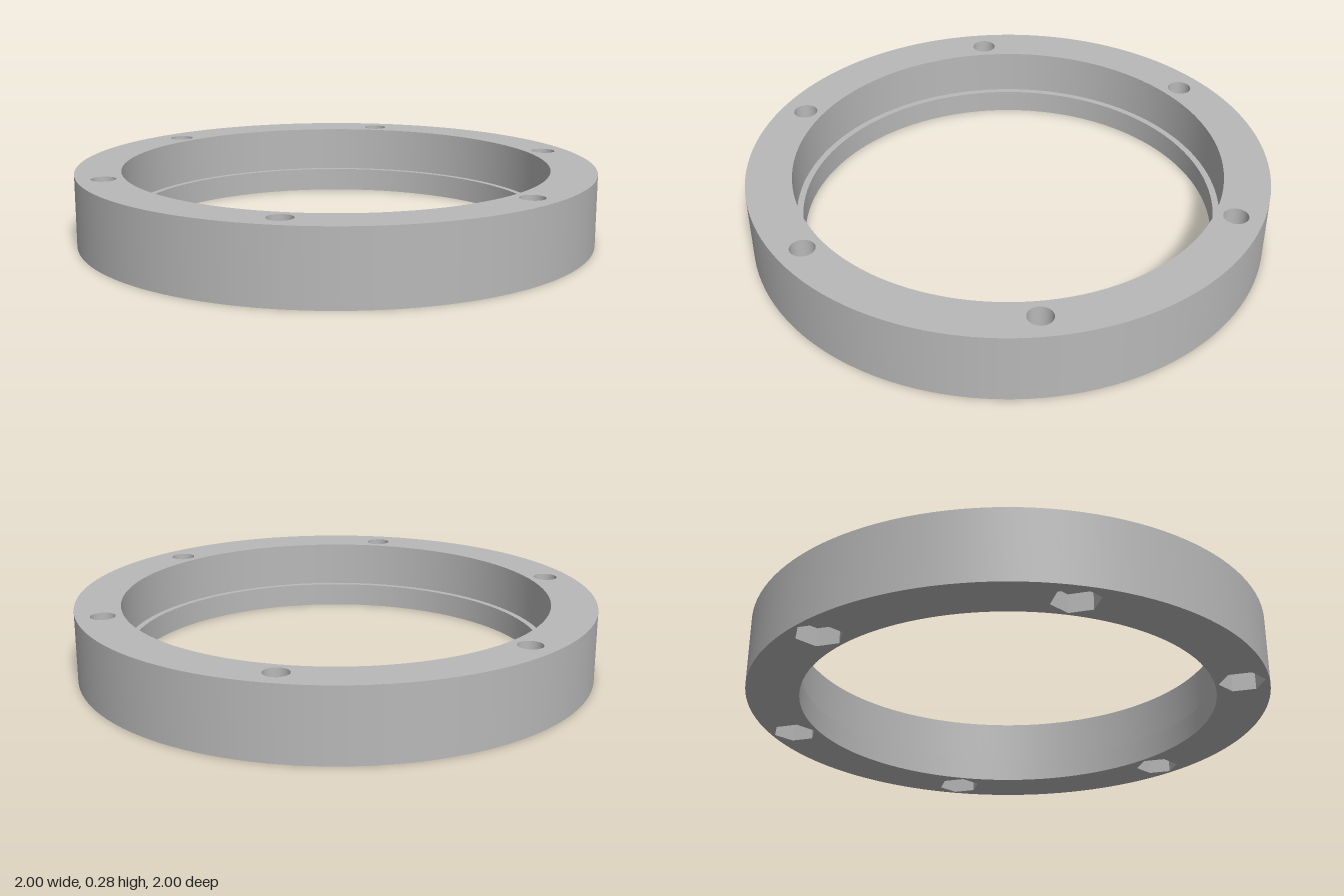
import * as THREE from 'three';

const HEIGHT = 0.275, STEP_Y = 0.095, NUT_DEPTH = 0.07;
const R_OUT = 1, R_SEAT = 0.825, R_BORE = 0.8;
const R_BOLT_CIRCLE = 0.9, R_HOLE = 0.047, R_NUT = 0.087;
const RING_SIDES = 128, HOLE_SIDES = 32;

// Regular polygon outline with its first corner on +x
function polygon(r, sides, cx = 0, cy = 0) {
  return Array.from({ length: sides }, (_, i) => {
    const a = (i / sides) * Math.PI * 2;
    return new THREE.Vector2(cx + r * Math.cos(a), cy + r * Math.sin(a));
  });
}

// Revolved strip: rising profiles face outward, falling ones face the axis
function strip(r0, y0, r1, y1, sides) {
  const profile = [new THREE.Vector2(r0, y0), new THREE.Vector2(r1, y1)];
  return new THREE.LatheGeometry(profile, sides, Math.PI / 2);
}

// Flat horizontal face with holes, facing up or down
function face(outline, holes, y, up) {
  const shape = new THREE.Shape(outline);
  for (const h of holes) shape.holes.push(new THREE.Path(h));
  const g = new THREE.ShapeGeometry(shape);
  g.rotateX(up ? -Math.PI / 2 : Math.PI / 2);
  return g.translate(0, y, 0);
}

export function createModel() {
  const model = new THREE.Group();
  model.name = 'flangeRing';
  const grey = new THREE.MeshStandardMaterial({ color: 0xb8b8b8 });
  grey.name = 'grey';

  const add = (name, geometry, parent = model) => {
    const mesh = new THREE.Mesh(geometry, grey);
    mesh.name = name;
    parent.add(mesh);
  };

  const centres = polygon(R_BOLT_CIRCLE, 6);
  const boltHoles = centres.map(c => polygon(R_HOLE, HOLE_SIDES, c.x, c.y));
  const nutHoles = centres.map(c => polygon(R_NUT, 6, c.x, c.y));

  // Ring body
  add('outerWall', strip(R_OUT, 0, R_OUT, HEIGHT, RING_SIDES));
  add('seatWall', strip(R_SEAT, HEIGHT, R_SEAT, STEP_Y, RING_SIDES));
  add('seatLedge', strip(R_SEAT, STEP_Y, R_BORE, STEP_Y, RING_SIDES));
  add('boreWall', strip(R_BORE, STEP_Y, R_BORE, 0, RING_SIDES));
  add('topFace', face(polygon(R_OUT, RING_SIDES),
    [polygon(R_SEAT, RING_SIDES), ...boltHoles], HEIGHT, true));
  add('bottomFace', face(polygon(R_OUT, RING_SIDES),
    [polygon(R_BORE, RING_SIDES), ...nutHoles], 0, false));

  // Bolt holes opening into hexagonal nut pockets underneath
  const boltWall = strip(R_HOLE, HEIGHT, R_HOLE, NUT_DEPTH, HOLE_SIDES);
  const nutWall = strip(R_NUT, NUT_DEPTH, R_NUT, 0, 6).toNonIndexed();
  nutWall.computeVertexNormals();
  const nutCeiling = face(polygon(R_NUT, 6), [polygon(R_HOLE, HOLE_SIDES)], NUT_DEPTH, false);
  centres.forEach((c, i) => {
    const hole = new THREE.Group();
    hole.name = `boltHole${i + 1}`;
    hole.position.set(c.x, 0, c.y);
    add('boltWall', boltWall, hole);
    add('nutPocketWall', nutWall, hole);
    add('nutPocketCeiling', nutCeiling, hole);
    model.add(hole);
  });

  return model;
}
